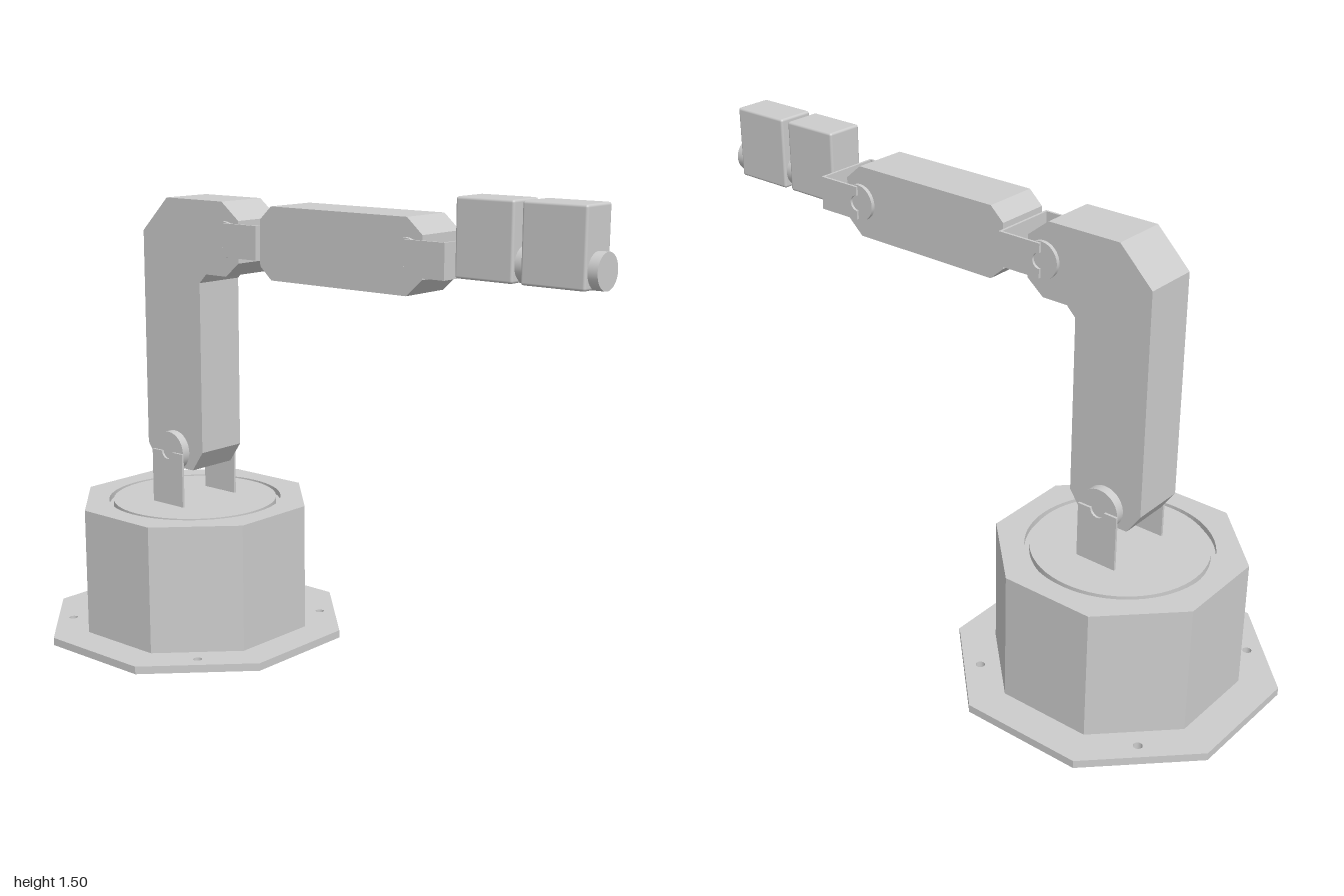
import * as THREE from 'three';
import { RoundedBoxGeometry } from 'three/addons/geometries/RoundedBoxGeometry.js';

const mat = new THREE.MeshStandardMaterial({ color: 0xcccccc });
const BASE_X = -0.53;
const WRIST_Y = 1.32;

function add(parent, name, geometry, x = 0, y = 0, z = 0) {
  const mesh = new THREE.Mesh(geometry, mat);
  mesh.name = name;
  mesh.position.set(x, y, z);
  parent.add(mesh);
  return mesh;
}

function extrude(shape, depth) {
  return new THREE.ExtrudeGeometry(shape, { depth, bevelEnabled: false, curveSegments: 32 });
}

function polygon(points) {
  return new THREE.Shape(points.map(([x, y]) => new THREE.Vector2(x, y)));
}

// Regular octagon with flat sides facing the axes
function octagon(apothem) {
  const r = apothem / Math.cos(Math.PI / 8);
  const points = [];
  for (let i = 0; i < 8; i++) {
    const a = Math.PI / 8 + (i * Math.PI) / 4;
    points.push([r * Math.cos(a), r * Math.sin(a)]);
  }
  return polygon(points);
}

function cutCircle(shape, x, y, r) {
  shape.holes.push(new THREE.Path().absarc(x, y, r, 0, Math.PI * 2, true));
}

// Upright slab extruded from y0 to y1
function slab(parent, name, shape, y0, y1) {
  add(parent, name, extrude(shape, y1 - y0).rotateX(-Math.PI / 2), BASE_X, y0, 0);
}

// Arm segment: side profile extruded symmetrically in z
function armSegment(parent, name, points) {
  const w = 0.088;
  add(parent, name, extrude(polygon(points), 2 * w), 0, 0, -w);
}

// Hinge: round hubs on both sides of an arm, held by a pair of notched straps
function hinge(parent, name, { x, y, radius, length, halfWidth, outer, angle, bridge }) {
  const group = new THREE.Group();
  group.name = name;
  group.position.set(x, y, 0);
  group.rotation.z = angle;
  const t = 0.008;
  const strap = new THREE.Shape();
  strap.moveTo(0, -halfWidth);
  strap.lineTo(length, -halfWidth);
  strap.lineTo(length, halfWidth);
  strap.lineTo(0, halfWidth);
  strap.lineTo(0, 0.024);
  strap.absarc(0, 0, 0.024, Math.PI / 2, -Math.PI / 2, true);
  strap.closePath();
  const hubDepth = outer - t - 0.08;
  for (const side of [1, -1]) {
    add(group, 'hingeStrap', extrude(strap, t), 0, 0, side > 0 ? outer - t : -outer);
    const hub = new THREE.CylinderGeometry(radius, radius, hubDepth, 40).rotateX(Math.PI / 2);
    add(group, 'hingeHub', hub, 0, 0, side * (0.08 + hubDepth / 2));
  }
  if (bridge) {
    add(group, 'hingeBridge', new THREE.BoxGeometry(t, 2 * halfWidth, 2 * outer), length - t / 2, 0, 0);
  }
  parent.add(group);
}

export function createModel() {
  const model = new THREE.Group();
  model.name = 'robotArm';

  // Base plate with four bolt holes
  const plate = octagon(0.467);
  for (const sx of [-1, 1]) for (const sz of [-1, 1]) cutCircle(plate, sx * 0.295, sz * 0.295, 0.014);
  slab(model, 'basePlate', plate, 0, 0.025);

  // Octagonal housing and the turntable set into its top
  const housing = octagon(0.356);
  cutCircle(housing, 0, 0, 0.285);
  slab(model, 'baseHousing', housing, 0.025, 0.44);
  add(model, 'turntableGroove', new THREE.RingGeometry(0.26, 0.29, 64).rotateX(-Math.PI / 2), BASE_X, 0.42, 0);
  add(model, 'turntable', new THREE.CylinderGeometry(0.27, 0.27, 0.415, 64), BASE_X, 0.2325, 0);

  // Shoulder
  hinge(model, 'shoulderHinge', {
    x: BASE_X, y: 0.617, radius: 0.065, length: 0.18, halfWidth: 0.068,
    outer: 0.125, angle: -Math.PI / 2, bridge: false,
  });

  // Bent upper arm
  armSegment(model, 'upperArm', [
    [-0.61, 0.56], [-0.45, 0.56], [-0.405, 0.625], [-0.405, 1.175],
    [-0.375, 1.205], [-0.29, 1.205], [-0.235, 1.25], [-0.235, 1.38],
    [-0.305, 1.435], [-0.545, 1.435], [-0.655, 1.325], [-0.655, 0.625],
  ]);

  // Elbow, forearm and wrist
  const joint = { y: WRIST_Y, radius: 0.056, halfWidth: 0.052, outer: 0.108, angle: 0, bridge: true };
  hinge(model, 'elbowHinge', { ...joint, x: -0.29, length: 0.145 });
  armSegment(model, 'forearm', [
    [-0.1, 1.21], [0.41, 1.21], [0.465, 1.26], [0.465, 1.385],
    [0.41, 1.432], [-0.1, 1.432], [-0.145, 1.39], [-0.145, 1.25],
  ]);
  hinge(model, 'wristHinge', { ...joint, x: 0.41, length: 0.145 });

  // Two motor blocks in a row, each with a round output shaft
  const motors = [
    { x0: 0.555, x1: 0.745, shaftEnd: 0.77 },
    { x0: 0.77, x1: 0.97, shaftEnd: 1.0 },
  ];
  for (const { x0, x1, shaftEnd } of motors) {
    const block = new RoundedBoxGeometry(x1 - x0, 0.225, 0.122, 2, 0.008);
    add(model, 'motorBlock', block, (x0 + x1) / 2, 1.3825, 0);
    const len = shaftEnd - x1 + 0.02;
    const shaft = new THREE.CylinderGeometry(0.052, 0.052, len, 40).rotateZ(Math.PI / 2);
    add(model, 'motorShaft', shaft, shaftEnd - len / 2, WRIST_Y, 0);
  }

  return model;
}
